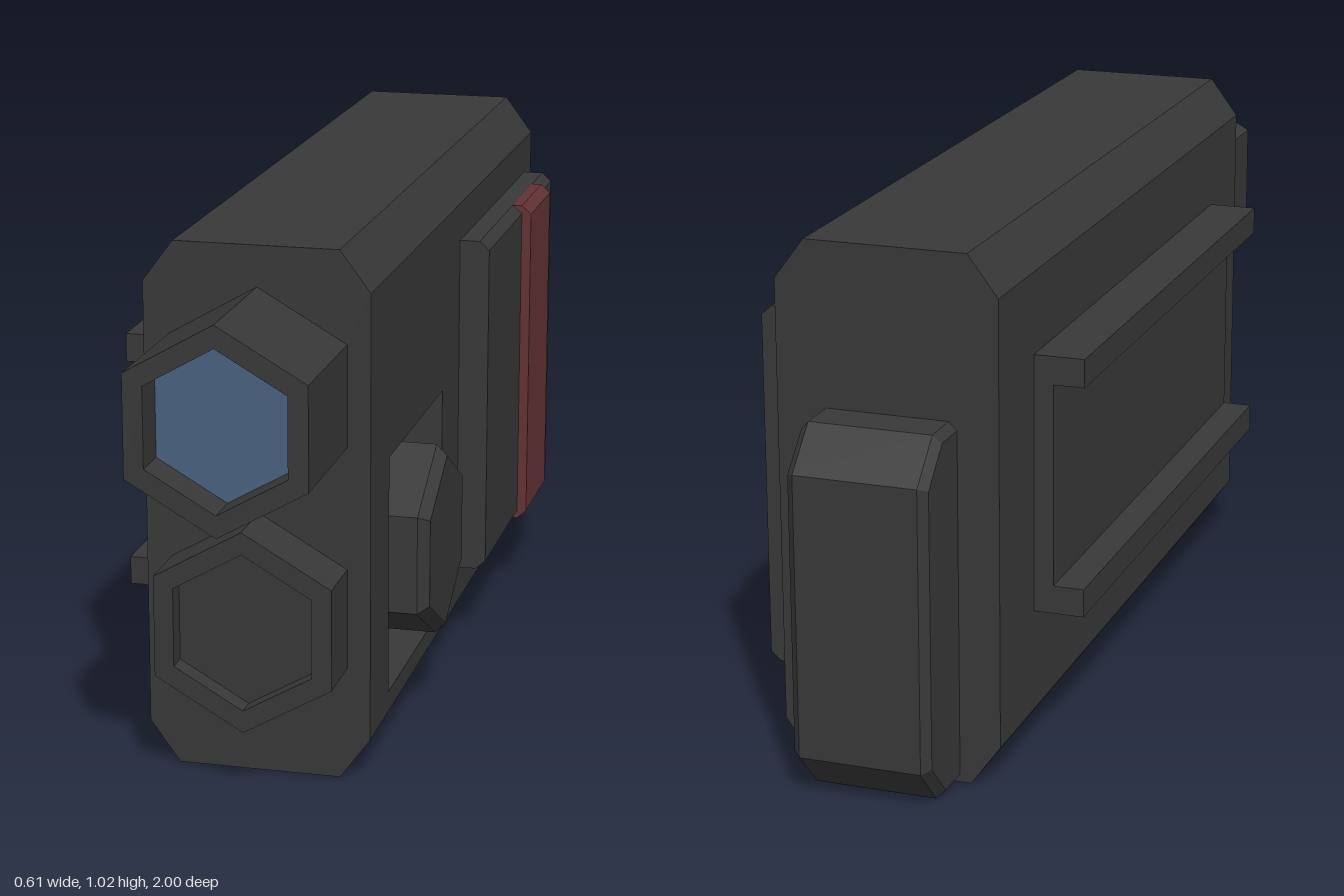
import * as THREE from 'three';

const mat = (name, color) => {
  const m = new THREE.MeshStandardMaterial({ color });
  m.name = name;
  return m;
};

const shapeOf = (pts) => new THREE.Shape(pts.map(([x, y]) => new THREE.Vector2(x, y)));

// Pointy-topped hexagon outline
const hexPoints = (cx, cy, r) => Array.from({ length: 6 }, (_, i) => {
  const a = Math.PI / 2 + (i * Math.PI) / 3;
  return [cx + r * Math.cos(a), cy + r * Math.sin(a)];
});

// Extrude an x-y outline from z0 to z1
const extrudeZ = (shape, z0, z1) =>
  new THREE.ExtrudeGeometry(shape, { depth: z1 - z0, bevelEnabled: false }).translate(0, 0, z0);

export function createModel() {
  const group = new THREE.Group();
  const casing = mat('dark casing', 0x383838);
  const glass = mat('blue lens', 0x486080);
  const red = mat('red band', 0x643234);

  const add = (name, geometry, material = casing) => {
    const mesh = new THREE.Mesh(geometry, material);
    mesh.name = name;
    group.add(mesh);
  };

  // Housing: chamfered profile, with a square pocket in the middle section
  const right = [[0.165, 0], [0.223, 0.08]];
  const pocket = [[0.223, 0.12], [0.13, 0.12], [0.13, 0.59], [0.223, 0.59]];
  const rest = [[0.223, 0.942], [0.165, 1.02], [-0.149, 1.02], [-0.207, 0.942], [-0.207, 0.08], [-0.149, 0]];
  const plain = shapeOf([...right, ...rest]);
  const notched = shapeOf([...right, ...pocket, ...rest]);
  add('housingRear', extrudeZ(plain, -0.84, 0.1));
  add('housingPocketSection', extrudeZ(notched, 0.1, 0.57));
  add('housingFront', extrudeZ(plain, 0.57, 0.72));

  // Hexagonal barrels with recessed ends
  const barrel = (name, cy, z1, recess, endName, endMaterial) => {
    const ring = shapeOf(hexPoints(0.01, cy, 0.195));
    ring.holes.push(shapeOf(hexPoints(0.01, cy, 0.152)));
    add(name, extrudeZ(ring, 0.72, z1));
    add(endName, extrudeZ(shapeOf(hexPoints(0.01, cy, 0.153)), z1 - recess - 0.008, z1 - recess), endMaterial);
  };
  barrel('lensBarrel', 0.747, 1, 0.075, 'lens', glass);
  barrel('lowerBarrel', 0.317, 0.84, 0.04, 'lowerBarrelEnd', casing);

  // Bevelled hexagonal button standing in the pocket
  const hexAlongX = (rOuter, rInner, x0, x1) =>
    new THREE.CylinderGeometry(rOuter, rInner, x1 - x0, 6, 1, false, Math.PI / 2)
      .toNonIndexed().rotateZ(-Math.PI / 2).translate((x0 + x1) / 2, 0.355, 0.335);
  const flat = (g) => { g.computeVertexNormals(); return g; };
  add('buttonBase', flat(hexAlongX(0.195, 0.195, 0.13, 0.263)));
  add('buttonCap', flat(hexAlongX(0.173, 0.195, 0.263, 0.284)));

  // Side panel and red band, chamfered along top and bottom
  const panel = (x0, x1) => shapeOf([
    [x0, 0.16], [x1 - 0.02, 0.16], [x1, 0.178], [x1, 0.847], [x1 - 0.02, 0.865], [x0, 0.865],
  ]);
  add('sidePanel', extrudeZ(panel(0.22, 0.284), -0.765, -0.06));
  add('redBand', extrudeZ(panel(0.264, 0.304), -0.642, -0.415), red);

  // Mounting channel on the other side
  add('mountingChannel', extrudeZ(shapeOf([
    [-0.2, 0.28], [-0.2, 0.785], [-0.305, 0.785], [-0.305, 0.73],
    [-0.245, 0.73], [-0.245, 0.335], [-0.305, 0.335], [-0.305, 0.28],
  ]), -0.65, 0.525));

  // Rear block: chamfered outline with bevelled sides
  const b = 0.016;
  const rear = shapeOf([
    [0.8, b], [0.915, b], [1 - b, 0.087], [1 - b, 0.622], [0.915, 0.705 - b], [0.8, 0.705 - b],
  ]);
  add('rearBlock', new THREE.ExtrudeGeometry(rear, {
    depth: 0.27 - 2 * b, bevelEnabled: true, bevelSize: b, bevelThickness: b, bevelSegments: 1,
  }).rotateY(Math.PI / 2).translate(-0.127 + b, 0, 0));

  return group;
}
